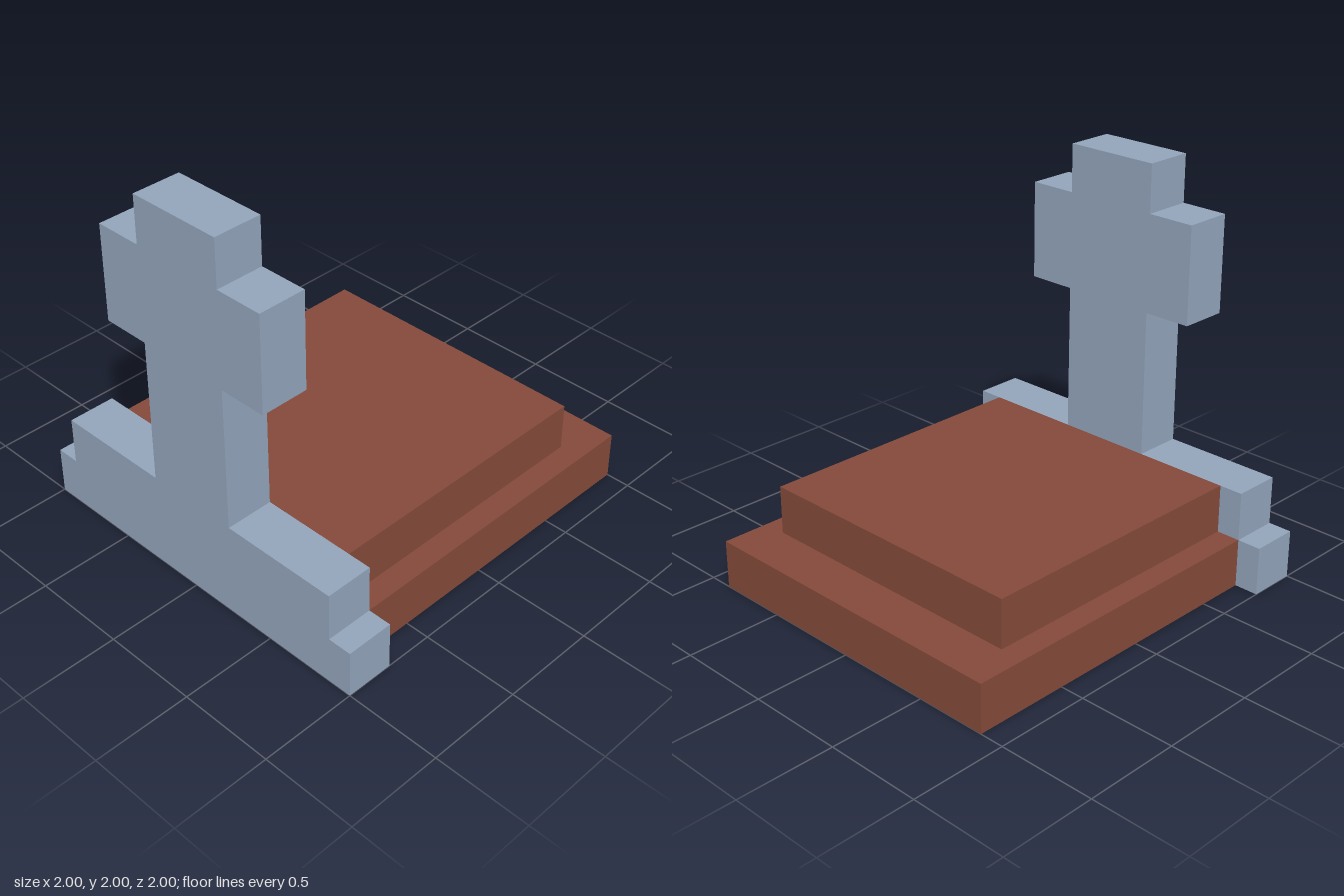
import * as THREE from 'three';

export function createModel() {
  const model = new THREE.Group();
  model.name = 'grave';

  const stone = new THREE.MeshStandardMaterial({ color: 0x92a4ba });
  stone.name = 'blue grey stone';
  const earth = new THREE.MeshStandardMaterial({ color: 0x84493a });
  earth.name = 'red brown earth';

  // Headstone: stepped foot and cross, one mirrored outline extruded along x
  const half = [
    [1, 0], [1, 0.25], [0.875, 0.25], [0.875, 0.5], [0.25, 0.5], [0.25, 1.255],
    [0.5, 1.255], [0.5, 1.755], [0.25, 1.755], [0.25, 2],
  ];
  const mirrored = half.map(([z, y]) => [-z, y]).reverse();
  const outline = new THREE.Shape([...half, ...mirrored].map(([z, y]) => new THREE.Vector2(z, y)));
  const headstone = new THREE.Mesh(
    new THREE.ExtrudeGeometry(outline, { depth: 0.25, bevelEnabled: false }), stone);
  headstone.name = 'headstone';
  headstone.rotation.y = Math.PI / 2;
  headstone.position.x = -1;
  model.add(headstone);

  // Two stepped layers of earth, both starting at the headstone
  const addLayer = (name, length, width, bottom) => {
    const layer = new THREE.Mesh(new THREE.BoxGeometry(length, 0.25, width), earth);
    layer.name = name;
    layer.position.set(-0.75 + length / 2, bottom + 0.125, 0);
    model.add(layer);
  };
  addLayer('lowerMound', 1.75, 1.75, 0);
  addLayer('upperMound', 1.5, 1.5, 0.25);

  return model;
}
